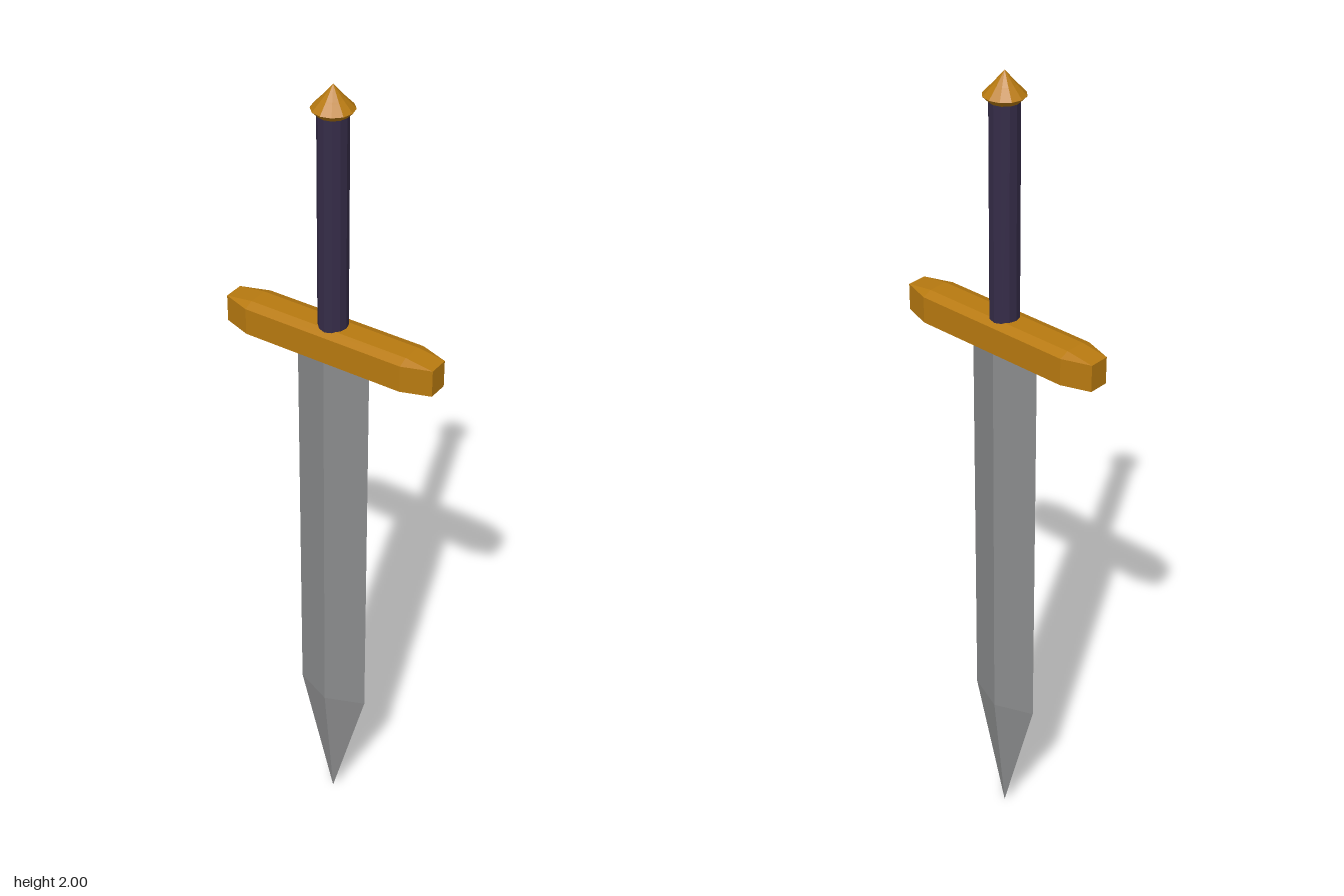
import * as THREE from 'three';
import { ConvexGeometry } from 'three/addons/geometries/ConvexGeometry.js';

function material(name, color) {
  const m = new THREE.MeshStandardMaterial({ color, flatShading: true });
  m.name = name;
  return m;
}

// Convex solid from one octant of corners, mirrored about its centre height
function mirroredHull(corners, centreY) {
  const points = [];
  for (const [x, y, z] of corners)
    for (const sx of [-1, 1])
      for (const sy of [-1, 1])
        for (const sz of [-1, 1])
          points.push(new THREE.Vector3(sx * x, centreY + sy * y, sz * z));
  return new ConvexGeometry(points);
}

export function createModel() {
  const steel = material('steel', 0x8a8b8c);
  const gold = material('gold', 0xb87a10);
  const leather = material('dark leather', 0x352c48);

  const model = new THREE.Group();
  model.name = 'sword';
  const add = (name, geometry, mat) => {
    const mesh = new THREE.Mesh(geometry, mat);
    mesh.name = name;
    model.add(mesh);
    return mesh;
  };

  // Blade: diamond section running down to a point
  const bladePoints = [new THREE.Vector3(0, 0, 0)];
  for (const y of [0.35, 1.38])
    for (const s of [-1, 1])
      bladePoints.push(new THREE.Vector3(s * 0.094, y, 0), new THREE.Vector3(0, y, s * 0.038));
  add('blade', new ConvexGeometry(bladePoints), steel);

  // Crossguard: octagonal bar with tapered ends
  add('crossguard', mirroredHull([
    [0.2, 0.041, 0.024],
    [0.2, 0.032, 0.047],
    [0.267, 0.032, 0.024],
  ], 1.4), gold);

  // Grip
  const grip = add('grip', new THREE.CylinderGeometry(0.034, 0.034, 0.52, 12), leather);
  grip.position.y = 1.68;

  // Pommel: flared collar with a small pointed cap
  const profile = [[0, 1.935], [0.034, 1.935], [0.047, 1.948], [0.028, 1.968], [0.025, 1.971], [0, 2]]
    .map(([r, y]) => new THREE.Vector2(r, y));
  add('pommel', new THREE.LatheGeometry(profile, 12), gold);

  return model;
}
